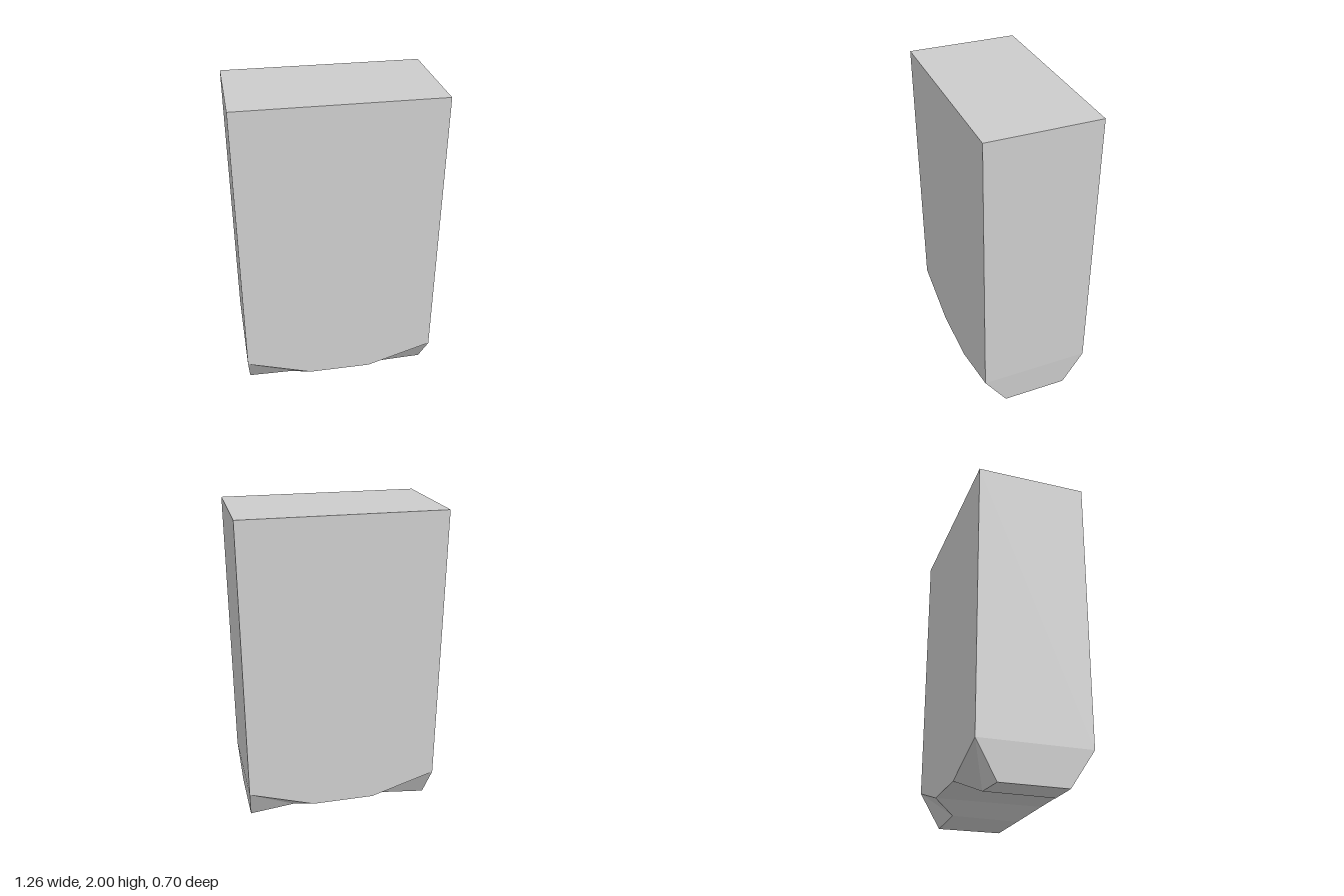
import * as THREE from 'three';

// Corner points of the +x half; F = front, B = back
const P = {
  UF: [0, 2, 0.35], UB: [0, 2, -0.35],            // top centre
  TF: [0.632, 2, 0.35], TB: [0.632, 2, -0.35],    // top corner
  SF: [0.617, 0.23, 0.35], SB: [0.617, 0.23, -0.35], // start of corner bevel
  CF: [0, 0.1, 0.35], CB: [0, 0.1, -0.35],        // underside centre
  NF: [0.2, 0.1, 0.35], NB: [0.2, 0.1, -0.35],    // start of foot
  IF: [0.32, 0.02, 0.23], IB: [0.31, 0.025, -0.21], // inner sole edge
  OF: [0.602, 0, 0.2], OB: [0.602, 0, -0.22],     // outer sole edge
};

// Convex faces, corners counter-clockwise from outside
const bodyFaces = [
  'CF NF SF TF UF', 'UB TB SB NB CB', // front, back
  'SF SB TB TF', 'UF TF TB UB', 'CF CB NB NF', // side, top, underside
];
const footFaces = [
  'OF OB SB SF', 'NF NB IB IF', 'IF IB OB OF', // outer side, inner slope, sole
  'SF NF IF OF', 'SB OB IB NB', // corner bevels
];

// Fan-triangulate faces, mirrored in x when side is -1
function facesGeometry(faces, sides) {
  const pos = [];
  for (const side of sides) {
    for (const face of faces) {
      const c = face.split(' ').map((k) => [P[k][0] * side, P[k][1], P[k][2]]);
      if (side < 0) c.reverse().unshift(c.pop()); // keep the same fan apex
      for (let i = 1; i < c.length - 1; i++) pos.push(...c[0], ...c[i], ...c[i + 1]);
    }
  }
  const g = new THREE.BufferGeometry();
  g.setAttribute('position', new THREE.Float32BufferAttribute(pos, 3));
  g.computeVertexNormals();
  return g;
}

export function createModel() {
  const group = new THREE.Group();
  group.name = 'footedBlock';
  const grey = new THREE.MeshStandardMaterial({ color: 0xcccccc });
  grey.name = 'light grey';

  const add = (name, faces, sides) => {
    const mesh = new THREE.Mesh(facesGeometry(faces, sides), grey);
    mesh.name = name;
    group.add(mesh);
  };
  add('body', bodyFaces, [1, -1]);
  add('leftFoot', footFaces, [1]);
  add('rightFoot', footFaces, [-1]);
  return group;
}
